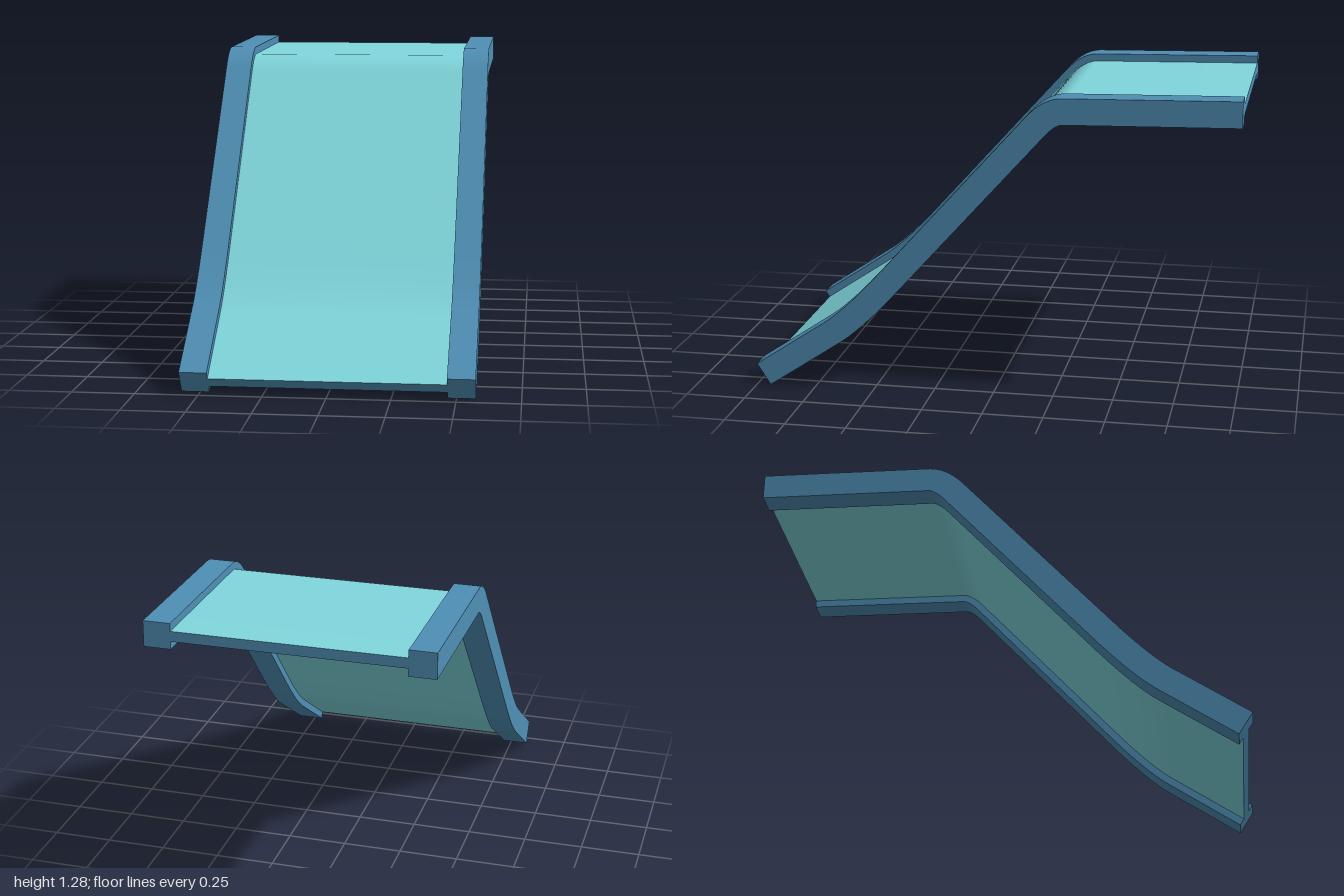
import * as THREE from 'three';

// Side path as (z, y), from the low front end to the high back end
function makePath() {
  const V = (z, y) => new THREE.Vector2(z, y);
  const low = new THREE.QuadraticBezierCurve(V(0.676, 0.243), V(0.584, 0.302), V(0.43, 0.473));
  const high = new THREE.QuadraticBezierCurve(V(-0.184, 1.155), V(-0.24, 1.217), V(-0.29, 1.219));
  const stations = [];
  const add = (p, t) => stations.push({ p, t });
  add(V(0.971, 0.046), low.getTangent(0));
  for (const curve of [low, high]) {
    for (let i = 0; i <= 10; i++) add(curve.getPoint(i / 10), curve.getTangent(i / 10));
  }
  add(V(-1, 1.232), V(-1, 0.018).normalize());
  return stations;
}

// Sweep a rectangle (x0..x1 wide, o0..o1 above the path) along the path.
// Group 0 is the long faces, group 1 the two end caps.
function sweep(stations, x0, x1, o0, o1) {
  const pos = [], nor = [], idx = [];
  const corners = [[x0, o1], [x1, o1], [x1, o0], [x0, o0]];
  const place = ({ p, t }, [x, o]) => [x, p.y - t.x * o, p.x + t.y * o];

  corners.forEach((a, k) => {
    const b = corners[(k + 1) % 4];
    const base = pos.length / 3;
    stations.forEach((s, i) => {
      pos.push(...place(s, a), ...place(s, b));
      const across = new THREE.Vector3(b[0] - a[0], -s.t.x * (b[1] - a[1]), s.t.y * (b[1] - a[1]));
      const n = across.cross(new THREE.Vector3(0, s.t.y, s.t.x)).normalize();
      nor.push(n.x, n.y, n.z, n.x, n.y, n.z);
      if (i > 0) {
        const q = base + 2 * (i - 1);
        idx.push(q, q + 1, q + 3, q, q + 3, q + 2);
      }
    });
  });
  const sideCount = idx.length;

  [[stations[0], -1], [stations[stations.length - 1], 1]].forEach(([s, dir]) => {
    const q = pos.length / 3;
    for (const c of corners) {
      pos.push(...place(s, c));
      nor.push(0, dir * s.t.y, dir * s.t.x);
    }
    if (dir < 0) idx.push(q, q + 3, q + 2, q, q + 2, q + 1);
    else idx.push(q, q + 1, q + 2, q, q + 2, q + 3);
  });

  const g = new THREE.BufferGeometry();
  g.setAttribute('position', new THREE.Float32BufferAttribute(pos, 3));
  g.setAttribute('normal', new THREE.Float32BufferAttribute(nor, 3));
  g.setIndex(idx);
  g.addGroup(0, sideCount, 0);
  g.addGroup(sideCount, idx.length - sideCount, 1);
  return g;
}

export function createModel() {
  const group = new THREE.Group();
  group.name = 'slopedConveyor';
  const frameBlue = new THREE.MeshStandardMaterial({ color: 0x4f8fb5 });
  frameBlue.name = 'frame blue';
  const beltTeal = new THREE.MeshStandardMaterial({ color: 0x80d8de });
  beltTeal.name = 'belt teal';

  const path = makePath();
  const inner = 0.465, outer = 0.575;
  const part = (name, geometry, materials) => {
    const mesh = new THREE.Mesh(geometry, materials);
    mesh.name = name;
    group.add(mesh);
  };

  // Belt with blue end edges, recessed between the two rails
  part('belt', sweep(path, -inner, inner, -0.021, 0.021), [beltTeal, frameBlue]);
  part('leftRail', sweep(path, inner, outer, -0.053, 0.053), [frameBlue, frameBlue]);
  part('rightRail', sweep(path, -outer, -inner, -0.053, 0.053), [frameBlue, frameBlue]);
  return group;
}
